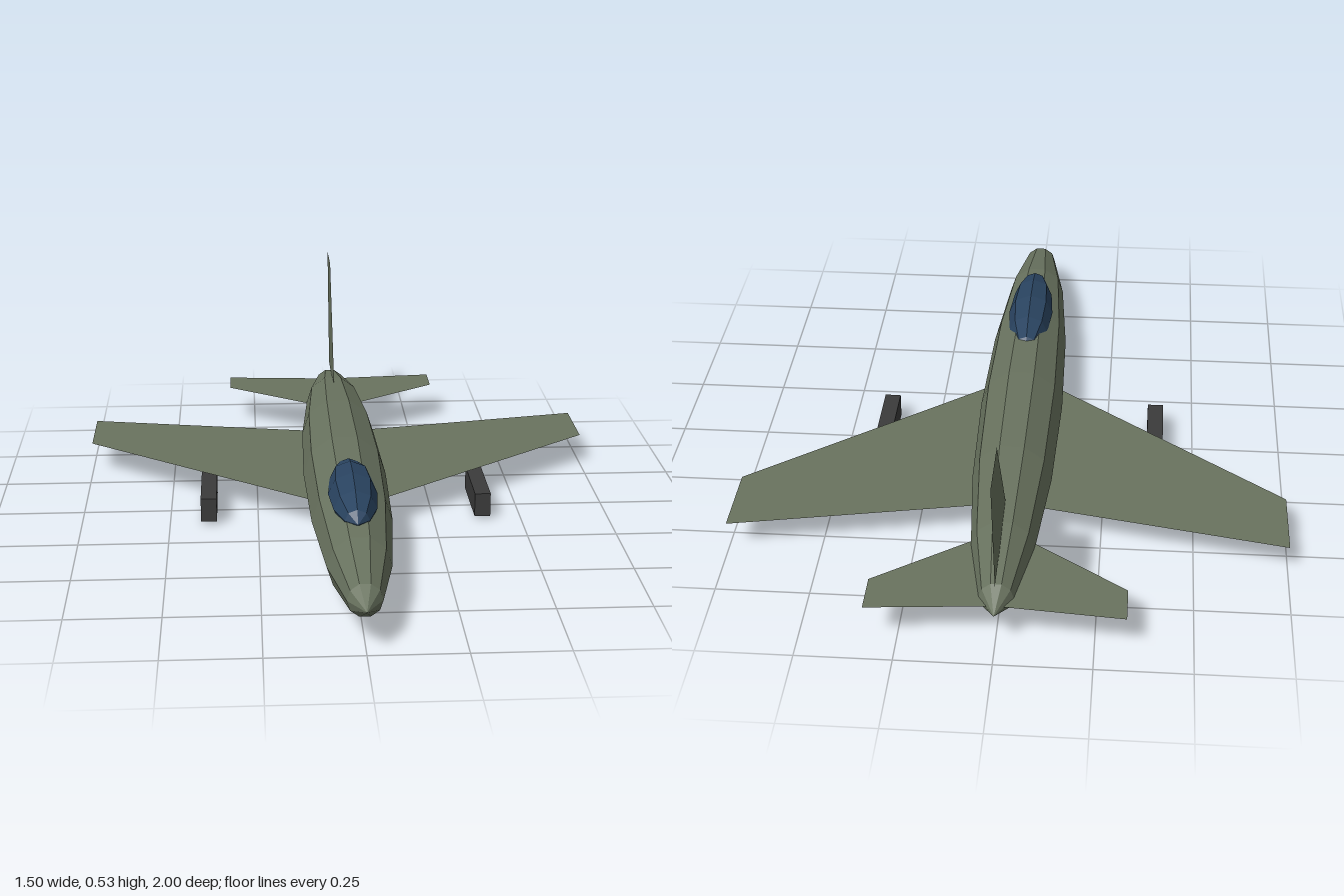
import * as THREE from 'three';

export function createModel() {
  const model = new THREE.Group();
  const mat = (name, color, side = THREE.FrontSide) => {
    const m = new THREE.MeshStandardMaterial({ color, side, flatShading: true });
    m.name = name;
    return m;
  };
  const olive = mat('olive', 0x69735f, THREE.DoubleSide);
  const glass = mat('canopy blue', 0x2a4461);
  const dark = mat('dark grey', 0x3b3b3b);

  const add = (name, geometry, material) => {
    const mesh = new THREE.Mesh(geometry, material);
    mesh.name = name;
    model.add(mesh);
    return mesh;
  };

  // Low-poly spindle with its poles along z
  const spindle = (sides, rings, rx, ry, rz) =>
    new THREE.SphereGeometry(1, sides, rings).rotateX(Math.PI / 2).scale(rx, ry, rz);

  // Flat panel from an outline of [u, v] points
  const panel = (points) =>
    new THREE.ShapeGeometry(new THREE.Shape(points.map(([u, v]) => new THREE.Vector2(u, v))));

  // Body and cockpit
  add('fuselage', spindle(10, 8, 0.118, 0.118, 0.975), olive).position.set(0, 0.118, 0.025);
  add('canopy', spindle(8, 6, 0.066, 0.06, 0.23), glass).position.set(0, 0.205, 0.42);

  // Mirrored flying surfaces and underwing pods
  for (const [side, s] of [['left', 1], ['right', -1]]) {
    // Outlines are [x, z]; rotating about x lays them flat with y becoming z
    const flat = (points) => panel(points.map(([x, z]) => [s * x, -z])).rotateX(-Math.PI / 2);
    add(side + 'Wing', flat([[0, 0.245], [0.75, -0.36], [0.75, -0.58], [0, -0.43]]), olive)
      .position.y = 0.093;
    add(side + 'Tailplane', flat([[0, -0.585], [0.33, -0.825], [0.33, -0.94], [0, -0.912]]), olive)
      .position.y = 0.12;
    add(side + 'Pod', new THREE.BoxGeometry(0.045, 0.068, 0.236), dark)
      .position.set(s * 0.39, 0.048, -0.006);
  }

  // Upright fin, outline is [z, y]
  const fin = panel([[-0.555, 0.18], [-0.82, 0.535], [-1, 0.535], [-0.91, 0.18]]);
  add('tailFin', fin.rotateY(-Math.PI / 2), olive);

  return model;
}
